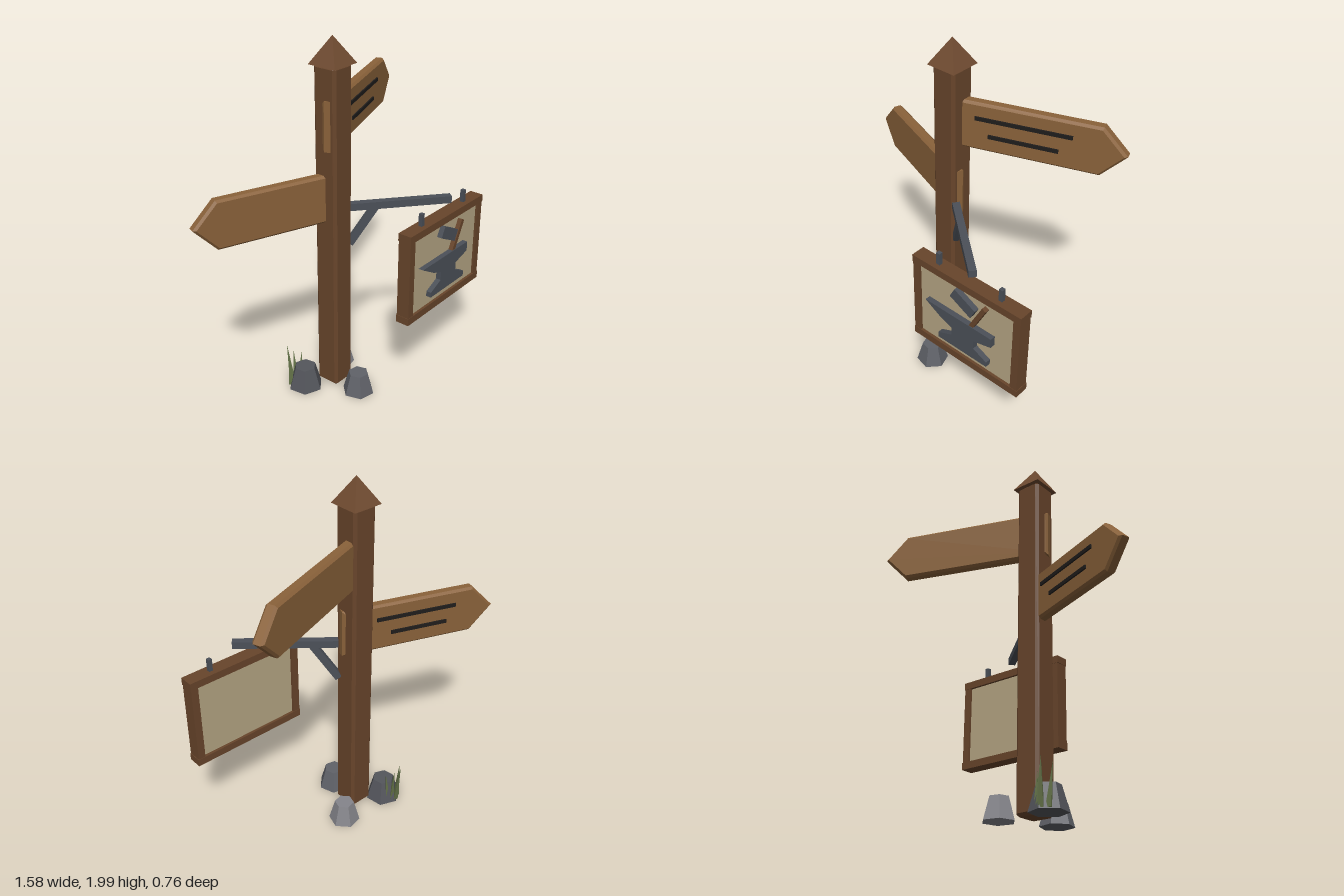
import * as THREE from 'three';

const mat = (color) => new THREE.MeshStandardMaterial({ color, flatShading: true });
const POST = mat(0x68452b), CAP = mat(0x6e4a30), BOARD = mat(0x8a623a), INK = mat(0x1f1d1c);
const IRON = mat(0x4b5058), PANEL = mat(0xb5a583), GRASS = mat(0x66754a);

function add(parent, name, geometry, material, x = 0, y = 0, z = 0) {
  const mesh = new THREE.Mesh(geometry, material);
  mesh.name = name;
  mesh.position.set(x, y, z);
  parent.add(mesh);
  return mesh;
}

const box = (w, h, d) => new THREE.BoxGeometry(w, h, d);

// Extrude an outline along z, centred on z = 0, with a single-step bevel inside the outline
function plate(points, depth, bevel = 0) {
  const shape = new THREE.Shape(points.map(([x, y]) => new THREE.Vector2(x, y)));
  const geometry = new THREE.ExtrudeGeometry(shape, {
    depth: depth - 2 * bevel, bevelEnabled: bevel > 0, bevelThickness: bevel,
    bevelSize: bevel, bevelOffset: -bevel, bevelSegments: 1,
  });
  return geometry.translate(0, 0, bevel - depth / 2);
}

// Arrow board running from the post along +x or -x, swung back by 20 degrees
function arrowBoard(parent, name, y, dir, length, strokes, face) {
  const board = new THREE.Group();
  board.name = name;
  board.position.set(-0.05, y, -0.05);
  board.rotation.y = dir * THREE.MathUtils.degToRad(20);
  parent.add(board);
  const s = length - 0.125, h = 0.132;
  const pts = [[-0.08, -h], [s, -h], [length, 0], [s, h], [-0.08, h]].map(([x, v]) => [x * dir, v]);
  if (dir < 0) pts.reverse();
  add(board, 'plank', plate(pts, 0.06, 0.012), BOARD);
  strokes.forEach(([a, b, v]) =>
    add(board, 'carvedStroke', box(b - a, 0.02, 0.012), INK, dir * (a + b) / 2, v, face * 0.032));
}

export function createModel() {
  const model = new THREE.Group();
  model.name = 'signpost';

  // Chamfered post and pointed cap
  const r = 0.07, c = 0.055;
  const octagon = [[r, -c], [r, c], [c, r], [-c, r], [-r, c], [-r, -c], [-c, -r], [c, -r]];
  const post = add(model, 'post', plate(octagon, 1.84, 0.015), POST, -0.05, 0.945, -0.05);
  post.rotation.x = -Math.PI / 2;
  const cap = new THREE.ConeGeometry(0.085 * Math.SQRT2, 0.14, 4).rotateY(Math.PI / 4);
  add(model, 'postCap', cap, CAP, -0.05, 1.93, -0.05);

  // Direction boards, the lower one marked on its back
  arrowBoard(model, 'upperBoard', 1.56, 1, 0.885, [[0.13, 0.62, 0.05], [0.2, 0.555, -0.04]], 1);
  arrowBoard(model, 'lowerBoard', 1.162, -1, 0.785, [[0.11, 0.56, 0.05], [0.19, 0.51, -0.038]], -1);

  // Iron bracket reaching out diagonally
  const bracket = new THREE.Group();
  bracket.name = 'bracket';
  bracket.position.set(0.02, 1.09, 0);
  bracket.rotation.y = -THREE.MathUtils.degToRad(40);
  model.add(bracket);
  add(bracket, 'arm', box(0.55, 0.04, 0.04), IRON, 0.275, 0, 0);
  add(bracket, 'brace', box(0.25, 0.04, 0.03), IRON, 0.068, -0.112, 0)
    .rotation.z = THREE.MathUtils.degToRad(56);

  // Hanging framed sign
  const sign = new THREE.Group();
  sign.name = 'hangingSign';
  sign.position.set(0.405, 0.743, 0.33);
  model.add(sign);
  add(sign, 'panel', box(0.61, 0.46, 0.05), PANEL);
  for (const side of [-1, 1]) {
    add(sign, 'frameRail', box(0.69, 0.042, 0.08), POST, 0, side * 0.244, 0);
    add(sign, 'frameStile', box(0.042, 0.45, 0.076), POST, side * 0.321, 0, 0);
    add(sign, 'hanger', box(0.022, 0.07, 0.022), IRON, side * 0.198, 0.3, 0);
  }

  // Anvil and hammer emblem
  const anvil = [
    [0.16, 0.78], [0.265, 0.72], [0.335, 0.695], [0.335, 0.645], [0.245, 0.605], [0.245, 0.575],
    [0.565, 0.575], [0.565, 0.605], [0.48, 0.645], [0.48, 0.695], [0.59, 0.725], [0.59, 0.78],
  ];
  add(model, 'anvil', plate(anvil, 0.034), IRON, 0, 0, 0.368);
  add(model, 'hammerHead', box(0.147, 0.066, 0.034), IRON, 0.405, 0.9, 0.368)
    .rotation.z = THREE.MathUtils.degToRad(-27);
  add(model, 'hammerHandle', box(0.18, 0.025, 0.028), POST, 0.497, 0.855, 0.367)
    .rotation.z = THREE.MathUtils.degToRad(63);

  // Six-sided stones round the foot: x, z, radius, height, turn, colour
  [
    [-0.05, 0.122, 0.09, 0.12, 0.3, 0x606269],
    [0.1, -0.14, 0.086, 0.12, 0.75, 0x85858b],
    [-0.2, -0.14, 0.098, 0.13, 0.15, 0x54565c],
  ].forEach(([x, z, radius, h, turn, color]) => {
    const stone = new THREE.CylinderGeometry(radius * 0.62, radius, h, 6).rotateY(turn);
    add(model, 'stone', stone, mat(color), x, 0.01 + h / 2, z);
  });

  // Grass blades: base x, base z, tip x, tip y, tip z
  [
    [-0.25, -0.2, -0.27, 0.225, -0.2], [-0.22, -0.22, -0.235, 0.255, -0.245],
    [-0.2, -0.21, -0.21, 0.22, -0.22], [-0.18, -0.2, -0.172, 0.2, -0.19],
  ].forEach(([x, z, tx, ty, tz]) => {
    const base = new THREE.Vector3(x, 0.015, z), tip = new THREE.Vector3(tx, ty, tz);
    const dir = tip.clone().sub(base), len = dir.length();
    const blade = add(model, 'grassBlade', new THREE.ConeGeometry(0.02, len, 3), GRASS);
    blade.position.copy(base).add(tip).multiplyScalar(0.5);
    blade.quaternion.setFromUnitVectors(new THREE.Vector3(0, 1, 0), dir.normalize());
  });

  return model;
}
